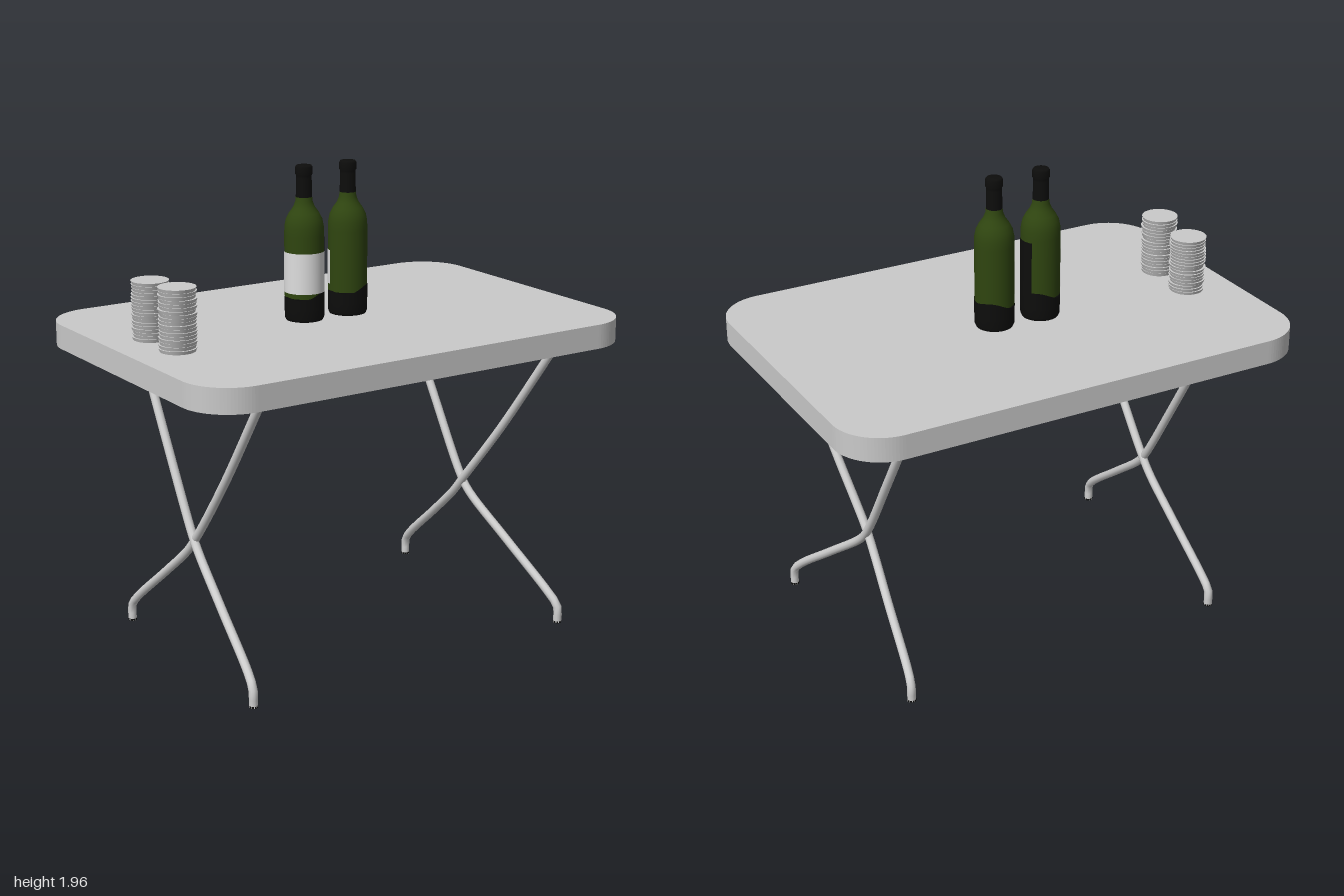
import * as THREE from 'three';

const mat = (name, color, side = THREE.FrontSide) => {
  const m = new THREE.MeshStandardMaterial({ color, side });
  m.name = name;
  return m;
};

export function createModel() {
  const root = new THREE.Group();
  root.name = 'tableWithBottles';
  const grey = mat('tableGrey', 0xcacaca);
  const metal = mat('legMetal', 0xcfcfcf);
  const green = mat('bottleGreen', 0x2f4510, THREE.DoubleSide);
  const black = mat('bottleBlack', 0x0d0d0c, THREE.DoubleSide);
  const white = mat('labelWhite', 0xdedede, THREE.DoubleSide);

  const add = (parent, name, geometry, material, x = 0, y = 0, z = 0) => {
    const mesh = new THREE.Mesh(geometry, material);
    mesh.name = name;
    mesh.position.set(x, y, z);
    parent.add(mesh);
    return mesh;
  };

  // Tabletop: rounded rectangle slab
  const w = 1, d = 0.695, r = 0.2;
  const s = new THREE.Shape();
  s.moveTo(-w + r, -d);
  s.lineTo(w - r, -d);
  s.absarc(w - r, -d + r, r, -Math.PI / 2, 0);
  s.absarc(w - r, d - r, r, 0, Math.PI / 2);
  s.absarc(-w + r, d - r, r, Math.PI / 2, Math.PI);
  s.absarc(-w + r, -d + r, r, Math.PI, Math.PI * 1.5);
  const slab = new THREE.ExtrudeGeometry(s, { depth: 0.1, bevelEnabled: false, curveSegments: 12 });
  slab.rotateX(-Math.PI / 2);
  add(root, 'tabletop', slab, grey, 0, 1.23, 0);

  // Crossed legs: x at foot, knee and top; the path in y and z is shared by each kind
  const forward = [[0, 0.54], [0.07, 0.538], [0.115, 0.5], [0.3, 0.255], [0.46, 0.045], [0.52, -0.01], [0.85, -0.22], [1.235, -0.455]];
  const backward = [[0, -0.485], [0.07, -0.483], [0.115, -0.445], [0.3, -0.22], [0.44, -0.055], [0.52, 0.015], [0.8, 0.232], [1.235, 0.53]];
  const legs = [
    ['frontFootLeftLeg', forward, 0.765, 0.66, 0.655],
    ['backFootLeftLeg', backward, 0.705, 0.645, 0.73],
    ['frontFootRightLeg', forward, -0.745, -0.69, -0.67],
    ['backFootRightLeg', backward, -0.725, -0.685, -0.675],
  ];
  for (const [name, path, foot, knee, top] of legs) {
    const leg = new THREE.Group();
    leg.name = name;
    root.add(leg);
    const pts = path.map(([y, z]) => {
      const x = y < 0.48
        ? THREE.MathUtils.lerp(foot, knee, Math.max(0, y - 0.07) / 0.41)
        : THREE.MathUtils.lerp(knee, top, (y - 0.48) / 0.75);
      return new THREE.Vector3(x, y, z);
    });
    const curve = new THREE.CatmullRomCurve3(pts, false, 'centripetal');
    add(leg, 'legTube', new THREE.TubeGeometry(curve, 48, 0.018, 10), metal);
    add(leg, 'footCap', new THREE.CylinderGeometry(0.0185, 0.0185, 0.008, 10), black, foot, 0.004, path[0][1]);
  }

  // Curved plate on a bottle, angles in degrees from the front towards +x
  const plate = (y0, y1, a0, a1, radius) => {
    const g = new THREE.CylinderGeometry(radius, radius, y1 - y0, 24, 1, true,
      THREE.MathUtils.degToRad(a0), THREE.MathUtils.degToRad(a1 - a0));
    return g.translate(0, (y0 + y1) / 2, 0);
  };
  const R = 0.08;
  const lathe = (pts) => new THREE.LatheGeometry(pts.map(([x, y]) => new THREE.Vector2(x, y)), 32);

  const makeBottle = (name, x) => {
    const b = new THREE.Group();
    b.name = name;
    b.position.set(x, 1.33, -0.035);
    root.add(b);
    add(b, 'glassBody', lathe([[R, 0.1], [R, 0.35], [0.079, 0.385], [0.073, 0.415], [0.06, 0.44],
      [0.044, 0.462], [0.035, 0.485], [0.032, 0.51]]), green);
    add(b, 'bottomGlass', lathe([[0, 0.012], [0.06, 0], [0.075, 0.004], [R, 0.016], [R, 0.06]]), black);
    // Dark lower band with a wavy upper edge
    const band = new THREE.CylinderGeometry(R + 0.001, R + 0.001, 0.07, 36, 1, true).translate(0, 0.085, 0);
    const p = band.attributes.position;
    for (let i = 0; i < p.count; i++) {
      if (p.getY(i) < 0.1) continue;
      const a = Math.atan2(p.getX(i), p.getZ(i));
      p.setY(i, 0.11 + 0.015 * Math.sin(a) + 0.008 * Math.sin(3 * a));
    }
    add(b, 'darkBand', band, black);
    // Neck sleeve with a thicker lip
    add(b, 'neckSleeve', lathe([[0.033, 0.495], [0.031, 0.58], [0.031, 0.59], [0.035, 0.595],
      [0.035, 0.622], [0.03, 0.63], [0, 0.63]]), black);
    return b;
  };

  const labelled = makeBottle('labelledBottle', -0.135);
  add(labelled, 'label', plate(0.12, 0.285, -118, 58, R + 0.002), white);
  add(labelled, 'darkPatch', plate(0.1, 0.34, 62, 125, R + 0.001), black);
  const plain = makeBottle('plainBottle', 0.075);
  add(plain, 'labelEdge', plate(0.13, 0.27, -118, -96, R + 0.002), white);

  // Two stacks of thin round discs
  let seed = 7;
  const rand = () => (seed = (seed * 16807) % 2147483647) / 2147483647 - 0.5;
  for (const [name, z, h] of [['frontStack', 0.11, 0.25], ['backStack', -0.105, 0.235]]) {
    const stack = new THREE.Group();
    stack.name = name;
    stack.position.set(-0.8, 1.33, z);
    root.add(stack);
    const n = 18, t = h / n;
    for (let i = 0; i < n; i++) {
      const k = i === n - 1 ? 0 : 0.006;
      add(stack, 'disc', new THREE.CylinderGeometry(0.075, 0.07, t, 28), grey, rand() * k, (i + 0.5) * t, rand() * k);
    }
  }
  return root;
}
